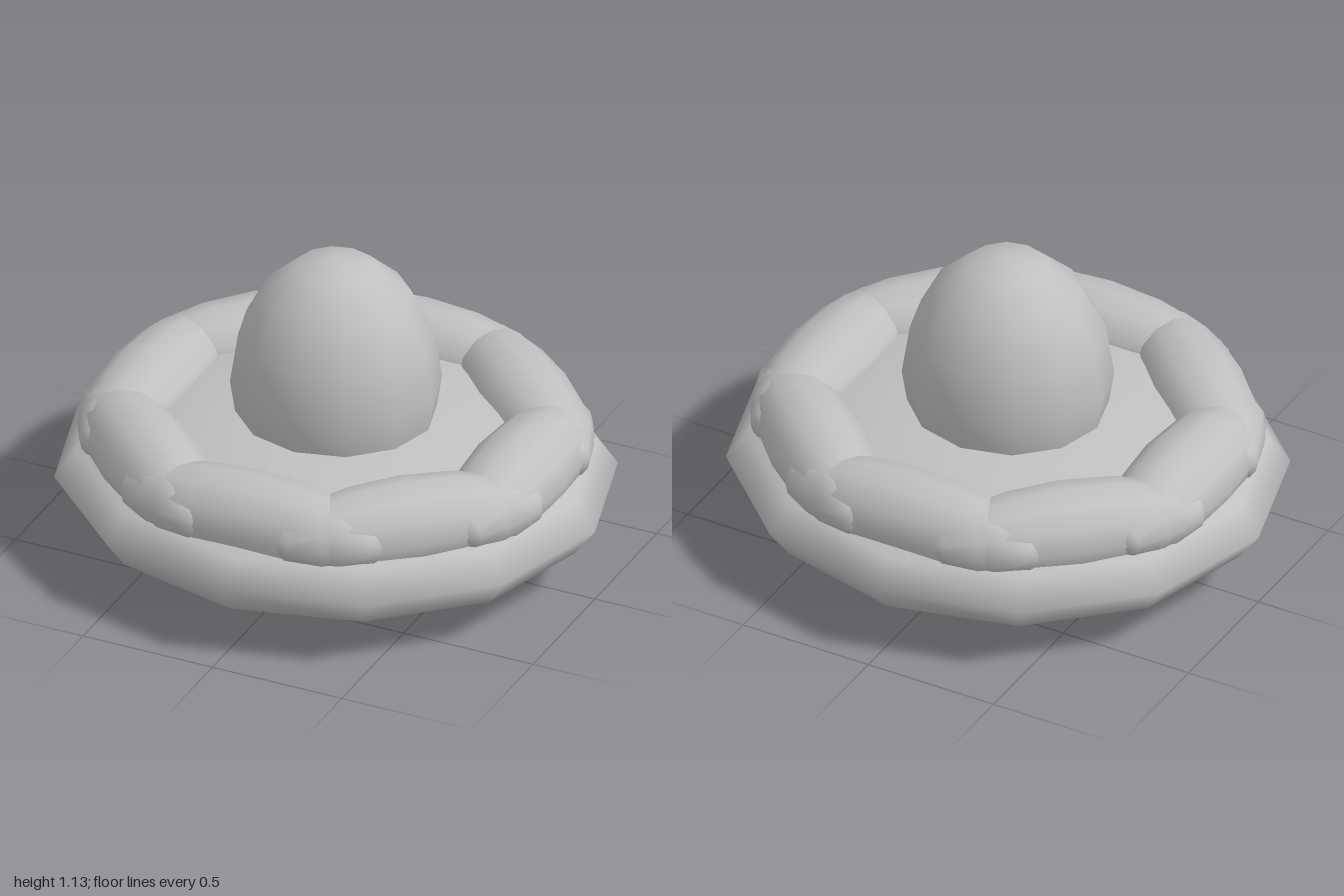
import * as THREE from 'three';

const DEPTH = 0.935; // the whole craft is slightly shallower in z

// Smooth low-sided ellipsoid with its pole along y
function ellipsoid(rx, ry, rz) {
  return new THREE.SphereGeometry(1, 12, 8).scale(rx, ry, rz);
}

export function createModel() {
  const group = new THREE.Group();
  const grey = new THREE.MeshStandardMaterial({ color: 0xc0c0c0 });
  grey.name = 'grey';

  function add(name, geometry) {
    const mesh = new THREE.Mesh(geometry, grey);
    mesh.name = name;
    group.add(mesh);
  }

  // Flattened saucer body
  add('saucerBody', ellipsoid(1, 0.27, DEPTH).translate(0, 0.27, 0));

  // Egg-shaped cockpit dome
  add('dome', ellipsoid(0.375, 0.49, 0.357).translate(0, 0.64, 0));

  // Ring of eight overlapping pods, long axis along the ring
  for (let i = 0; i < 8; i++) {
    const pod = new THREE.SphereGeometry(1, 12, 8)
      .rotateZ(Math.PI / 2)
      .scale(0.52, 0.165, 0.181)
      .translate(0, 0.43, 0.708)
      .rotateY((i * Math.PI) / 4)
      .scale(1, 1, DEPTH);
    add('ringPod' + (i + 1), pod);
  }

  return group;
}
